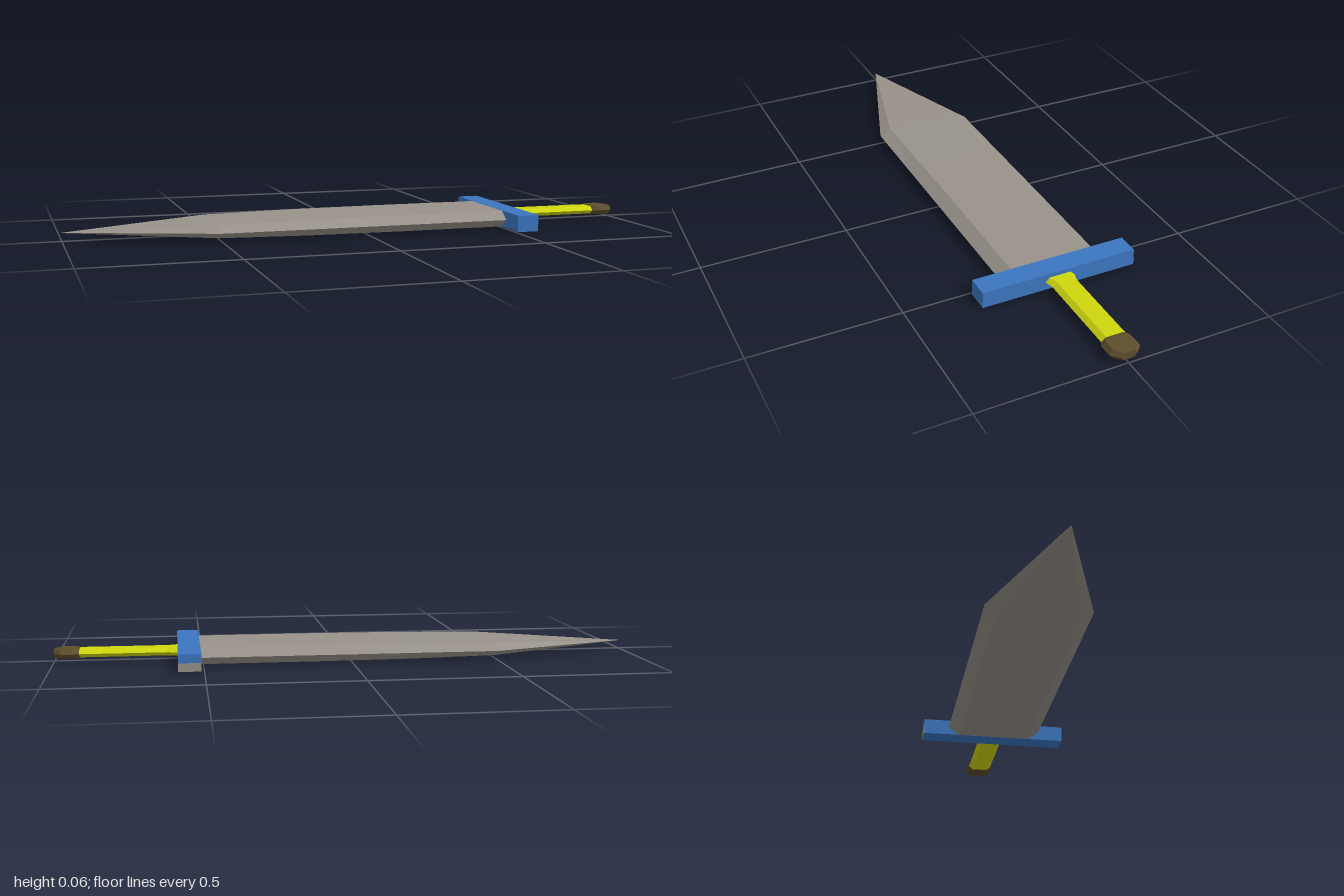
import * as THREE from 'three';

const CY = 0.0285; // height of the sword's mid-plane

// Lofts six-sided sections along x. Each section: [x, half width, half flat width, half thickness]
function loft(sections) {
  const pos = [];
  const rings = sections.map(([x, w, f, h]) =>
    [[-w, 0], [-f, h], [f, h], [w, 0], [f, -h], [-f, -h]].map(([z, y]) => [x, CY + y, z]));
  const tri = (...pts) => pts.forEach((p) => pos.push(...p));
  for (let i = 0; i < rings.length - 1; i++) {
    for (let j = 0; j < 6; j++) {
      const k = (j + 1) % 6;
      tri(rings[i][j], rings[i][k], rings[i + 1][k]);
      tri(rings[i][j], rings[i + 1][k], rings[i + 1][j]);
    }
  }
  // end caps
  const first = rings[0], last = rings[rings.length - 1];
  for (let j = 1; j < 5; j++) {
    tri(last[0], last[j], last[j + 1]);
    tri(first[0], first[j + 1], first[j]);
  }
  const g = new THREE.BufferGeometry();
  g.setAttribute('position', new THREE.Float32BufferAttribute(pos, 3));
  g.computeVertexNormals();
  return g;
}

function material(name, color) {
  const m = new THREE.MeshStandardMaterial({ color });
  m.name = name;
  return m;
}

export function createModel() {
  const group = new THREE.Group();
  group.name = 'sword';
  const steel = material('steel grey', 0x98928a);
  const blue = material('guard blue', 0x3b76c0);
  const yellow = material('grip yellow', 0xced60e);
  const brown = material('pommel brown', 0x5c4d2c);

  const add = (name, geometry, mat) => {
    const mesh = new THREE.Mesh(geometry, mat);
    mesh.name = name;
    group.add(mesh);
    return mesh;
  };

  // Bevelled blade, tapering to a point
  add('blade', loft([
    [-1, 0.001, 0.0008, 0.0005],
    [-0.505, 0.175, 0.135, 0.021],
    [-0.2, 0.175, 0.135, 0.0265],
    [0.12, 0.175, 0.135, 0.028],
    [0.52, 0.175, 0.135, 0.028],
  ]), steel);

  // Cross guard, with a steel strip on the lower half of one end
  add('crossGuard', new THREE.BoxGeometry(0.076, 0.057, 0.54), blue).position.set(0.547, CY, 0);
  add('guardEndStrip', new THREE.BoxGeometry(0.076, 0.028, 0.002), steel).position.set(0.547, 0.0142, -0.27);

  // Grip, flared where it meets the guard
  add('grip', loft([
    [0.58, 0.053, 0.038, 0.0145],
    [0.618, 0.044, 0.028, 0.0135],
    [0.92, 0.044, 0.028, 0.0135],
  ]), yellow);

  // Faceted pommel
  add('pommel', loft([
    [0.915, 0.046, 0.03, 0.0135],
    [0.932, 0.053, 0.04, 0.0155],
    [0.975, 0.053, 0.04, 0.0155],
    [1, 0.028, 0.018, 0.013],
  ]), brown);

  return group;
}
